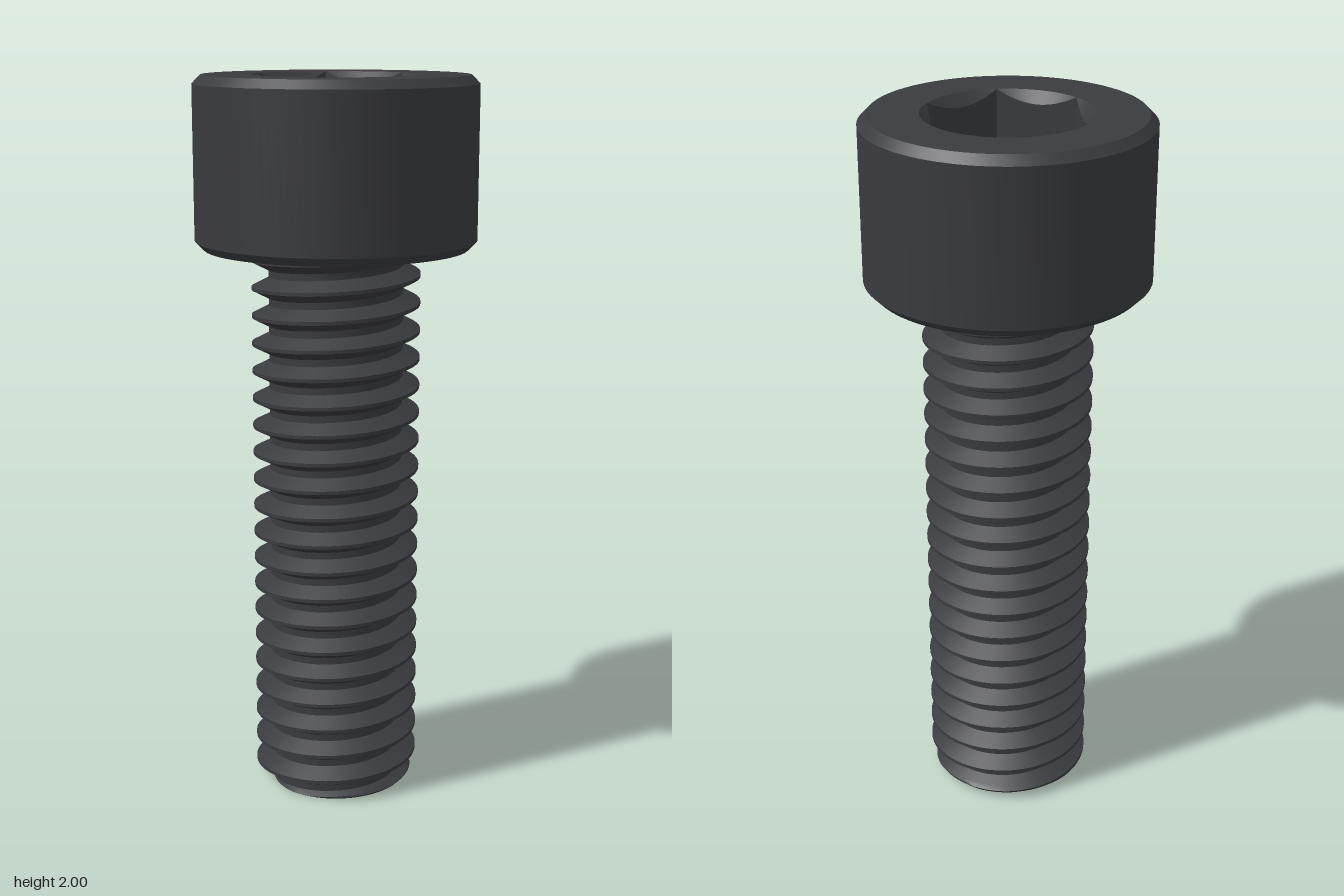
import * as THREE from 'three';
import { toCreasedNormals } from 'three/addons/utils/BufferGeometryUtils.js';

const PITCH = 2 / 26;      // thread pitch
const MAJOR = 0.231;       // crest radius
const MINOR = 0.184;       // root radius
const NECK_Y = 1.54;       // underside of the head
const TOP_Y = 2;
const HEX = 0.195;         // half the distance across the flats
const RIM = HEX / Math.cos(Math.PI / 6);
const FLOOR_Y = 1.77;      // bottom of the hex socket

const material = new THREE.MeshStandardMaterial({ color: 0x3a3b3f });

// Surface swept around y: at(row, angle) returns [radius, y]; rows run so the outside faces out
function sweep(name, rows, segments, at) {
  const point = (i, j) => {
    const a = (j / segments) * Math.PI * 2;
    const [r, y] = at(i, a);
    return new THREE.Vector3(r * Math.cos(a), y, r * Math.sin(a));
  };
  const grid = [];
  for (let i = 0; i < rows; i++) {
    grid.push(Array.from({ length: segments + 1 }, (_, j) => point(i, j)));
  }
  const positions = [];
  const triangle = new THREE.Triangle();
  const add = (a, b, c) => {
    if (triangle.set(a, b, c).getArea() < 1e-9) return; // skip collapsed faces
    for (const p of [a, b, c]) positions.push(p.x, p.y, p.z);
  };
  for (let i = 0; i < rows - 1; i++) {
    for (let j = 0; j < segments; j++) {
      const a = grid[i][j], b = grid[i + 1][j], c = grid[i + 1][j + 1], d = grid[i][j + 1];
      add(a, b, c);
      add(a, c, d);
    }
  }
  const geometry = new THREE.BufferGeometry();
  geometry.setAttribute('position', new THREE.Float32BufferAttribute(positions, 3));
  const mesh = new THREE.Mesh(toCreasedNormals(geometry, 0.5), material);
  mesh.name = name;
  return mesh;
}

// Radius of the threaded shank, with a chamfered tip and a fillet under the head
function shankRadius(y, a) {
  const turns = (y - 0.002) / PITCH + a / (Math.PI * 2);
  const fromCrest = Math.abs(turns - Math.round(turns));
  const t = THREE.MathUtils.clamp((fromCrest - 0.0625) / 0.3125, 0, 1);
  let r = Math.min(THREE.MathUtils.lerp(MAJOR, MINOR, t), 0.2 + y);
  const fillet = 0.055;
  const h = y - (NECK_Y - fillet);
  if (h > 0) r = Math.max(r, MINOR + fillet - Math.sqrt(Math.max(0, fillet ** 2 - h ** 2)));
  return r;
}

// Distance from the axis to the hexagon's wall, corners on the x axis
function hexRadius(a) {
  const sector = Math.PI / 3;
  return HEX / Math.cos((a % sector) - sector / 2);
}

export function createModel() {
  const group = new THREE.Group();
  group.name = 'socketHeadScrew';

  // Thread: rows follow the helix so crests and roots stay crisp
  const steps = 16;
  const rows = Math.ceil(NECK_Y / PITCH + 2) * steps;
  group.add(sweep('threadedShank', rows, 72, (i, a) => {
    const helixY = PITCH * (i / steps - a / (Math.PI * 2)) + 0.002 - PITCH / steps;
    const y = THREE.MathUtils.clamp(helixY, 0, NECK_Y);
    return [shankRadius(y, a), y];
  }));

  // Flat end of the shank
  group.add(sweep('shankTip', 2, 72, (i, a) => [i * shankRadius(0, a), 0]));

  // Cylindrical head with chamfered edges
  const headProfile = [
    [0.18, NECK_Y], [0.36, NECK_Y], [0.383, NECK_Y + 0.023],
    [0.383, TOP_Y - 0.023], [0.36, TOP_Y], [RIM, TOP_Y],
  ];
  group.add(sweep('head', headProfile.length, 96, (i) => headProfile[i]));

  // Hex socket: countersunk rim, six walls and a flat floor
  group.add(sweep('hexSocket', 4, 96, (i, a) => {
    const r = hexRadius(a);
    return [[RIM, TOP_Y], [r, TOP_Y - (RIM - r)], [r, FLOOR_Y], [0, FLOOR_Y]][i];
  }));

  return group;
}
